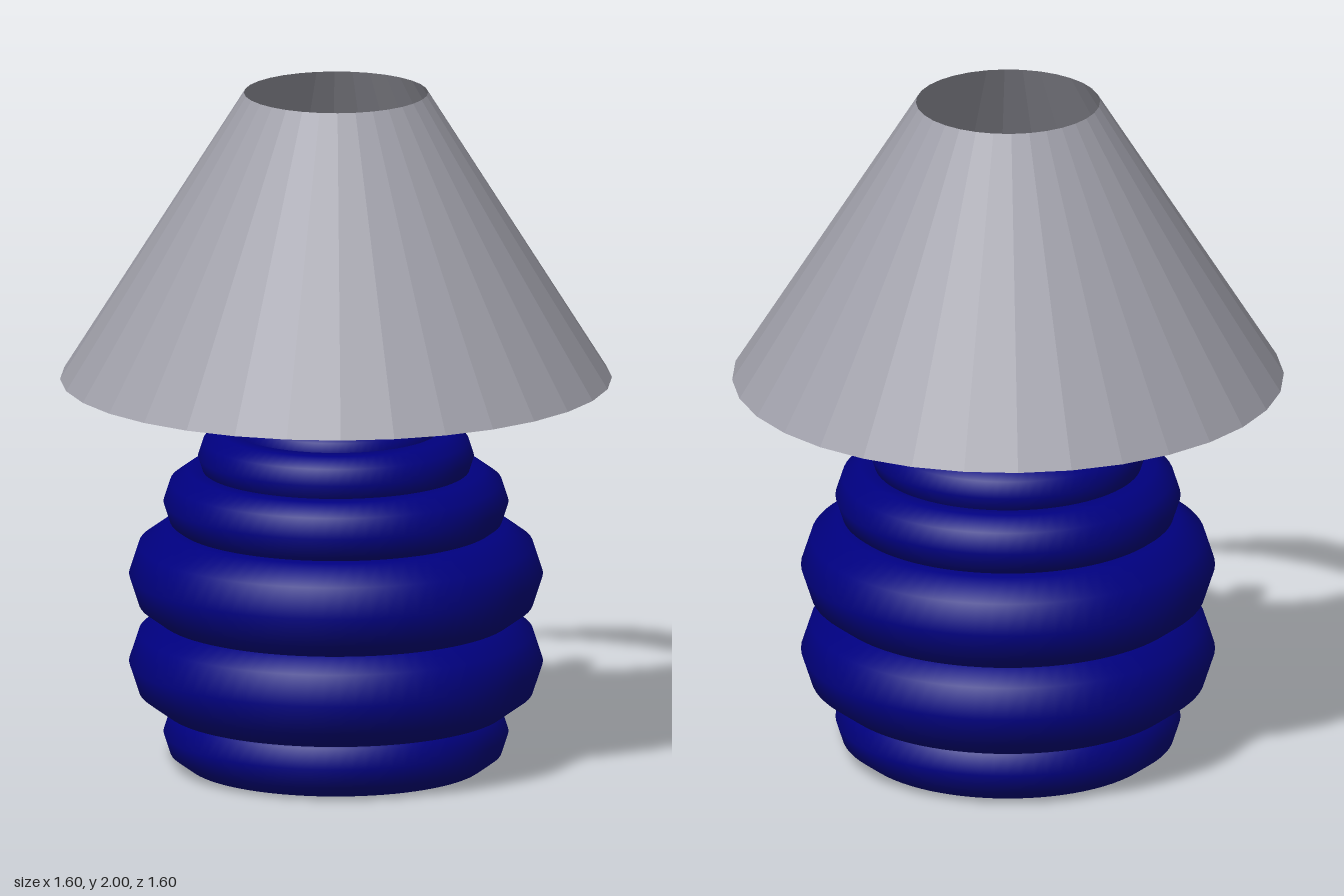
import * as THREE from 'three';

export function createModel() {
  const group = new THREE.Group();
  group.name = 'tableLamp';

  const navy = new THREE.MeshStandardMaterial({ color: 0x000080 });
  navy.name = 'navyCeramic';
  const grey = new THREE.MeshStandardMaterial({ color: 0xa0a0aa, flatShading: true, side: THREE.DoubleSide });
  grey.name = 'greyShade';
  const silver = new THREE.MeshStandardMaterial({ color: 0xe0e0e0 });
  silver.name = 'paleMetal';

  const add = (name, geometry, material, y) => {
    const mesh = new THREE.Mesh(geometry, material);
    mesh.name = name;
    mesh.position.y = y;
    group.add(mesh);
  };

  // Base: stacked rings, each [outer radius, tube radius, centre height]
  const rings = [
    [0.5, 0.1, 0.1],
    [0.6, 0.15, 0.31],
    [0.6, 0.15, 0.57],
    [0.5, 0.1, 0.785],
    [0.4, 0.08, 0.92],
    [0.3, 0.06, 0.987],
  ];
  rings.forEach(([outer, tube, y], i) => {
    const ring = new THREE.TorusGeometry(outer - tube, tube, 10, 80).rotateX(-Math.PI / 2);
    add(`baseRing${i + 1}`, ring, navy, y);
  });

  // Pole running through the hollow base up into the shade
  const poleHeight = 1.75;
  add('pole', new THREE.CylinderGeometry(0.055, 0.055, poleHeight, 32), silver, poleHeight / 2);

  // Open conical shade
  add('shade', new THREE.CylinderGeometry(0.267, 0.8, 0.85, 32, 1, true), grey, 1.575);

  return group;
}
